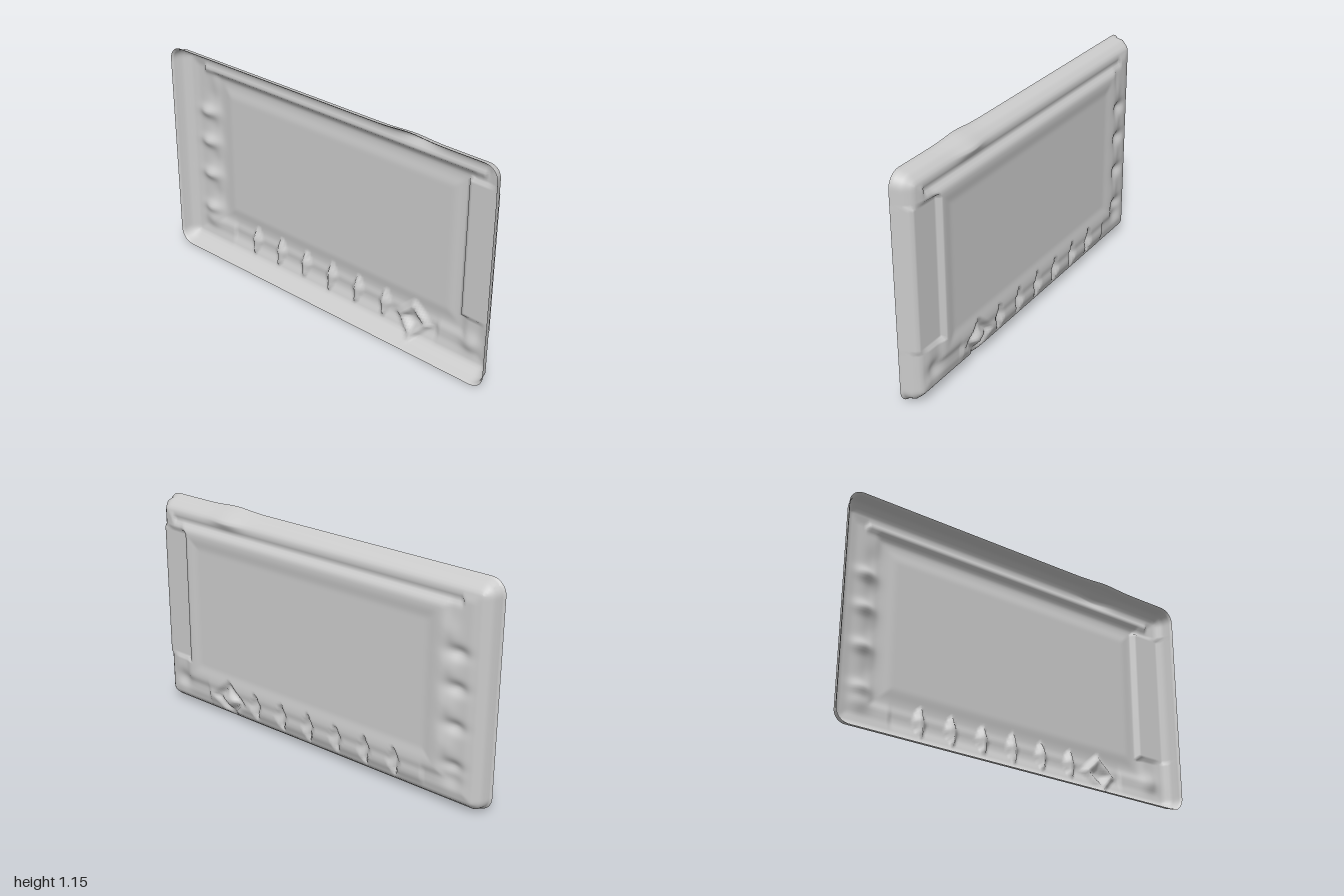
import * as THREE from 'three';

const W = 1, Y0 = 0.004, Y1 = 1.14, R = 0.075;
const smooth = THREE.MathUtils.smoothstep;
const bell = (v, c, w) => Math.max(0, 1 - Math.abs(v - c) / w);
const hump = (v, c, w) => Math.exp(-(((v - c) / w) ** 2));

// linear interpolation through profile points [distance, z]
function profile(points, d) {
  for (let i = 1; i < points.length; i++) {
    const [a, za] = points[i - 1], [b, zb] = points[i];
    if (d <= b) return za + (zb - za) * (d - a) / (b - a);
  }
  return points[points.length - 1][1];
}

// flared lip, rounded wall and shallow floor, measured inward from the rim
const WALL = [[0, 0.055], [0.011, 0.042], [0.018, 0.008], [0.05, -0.028], [0.1, -0.04], [0.2, -0.043]];
const SIDE_WALL = [[0, 0.055], [0.011, 0.04], [0.02, 0], [0.04, -0.03], [0.2, -0.033]];

// distance from a point to the rounded outline
function edgeDistance(x, y) {
  const dx = W - Math.abs(x);
  const dy = Math.min(y - Y0, Y1 - y);
  if (dx < R && dy < R) return Math.max(0, R - Math.hypot(R - dx, R - dy));
  return Math.max(0, Math.min(dx, dy));
}

function depth(x, y) {
  const d = edgeDistance(x, y);
  let z = profile(WALL, d);

  // flat side strip with a sharp step at both ends
  if (x > 0.79 && y > 0.28 && y < 0.99) return profile(SIDE_WALL, d);

  // large panel framed by a shallow groove
  const px = Math.min(x + 0.75, 0.79 - x), py = Math.min(y - 0.2, 0.985 - y);
  const inset = Math.min(px, py);
  if (inset > -0.05) {
    const k = smooth(inset, -0.05, 0.0);
    z += (-0.054 - z) * k;
    z += 0.008 * smooth(inset, 0.01, 0.08);
  }
  // long shelf fold above the panel
  if (x > -0.85 && x < 0.88) z += 0.014 * hump(y, 1.035, 0.018);

  // row of pointed ribs below the panel
  for (let i = 0; i < 6; i++) {
    const w = 0.04 * bell(y, 0.145, 0.085);
    if (w > 0) z += 0.03 * bell(x, -0.52 + i * 0.173, w) * Math.min(1, w / 0.015);
  }
  if (x > -0.68 && x < 0.66) z -= 0.01 * hump(y, 0.13, 0.045);

  // diamond boss with a sunken middle
  const q = Math.abs(x - 0.525) + Math.abs(y - 0.13);
  z += 0.025 * bell(q, 0.075, 0.04) - 0.008 * bell(q, 0, 0.04);

  // scalloped pockets along the left side
  for (const c of [0.32, 0.52, 0.71, 0.88]) {
    z += 0.022 * hump(x, -0.84, 0.05) * hump(y, c - 0.09, 0.03);
    z -= 0.01 * hump(x, -0.8, 0.04) * hump(y, c, 0.06);
  }

  // small corner bosses and the button bulge on the top wall
  z += 0.02 * hump(x, 0.86, 0.05) * hump(y, 0.15, 0.045);
  z += 0.015 * hump(x, -0.84, 0.05) * hump(y, 0.16, 0.04);
  z -= 0.02 * hump(x, 0.53, 0.09) * hump(y, 1.09, 0.025);
  return Math.max(z, -0.056);
}

// grid lines from a to b, gathered near the rim
function gridLines(a, b, n) {
  const lip = [0, 0.006, 0.011, 0.018, 0.03];
  const lines = lip.map((v) => a + v);
  for (let i = 1; i < n; i++) lines.push(a + 0.03 + (b - a - 0.06) * i / n);
  return lines.concat(lip.map((v) => b - v).reverse());
}

function makeShell() {
  const xs = gridLines(-W, W, 150), ys = gridLines(Y0, Y1, 90);
  const geo = new THREE.PlaneGeometry(1, 1, xs.length - 1, ys.length - 1);
  const pos = geo.attributes.position;
  for (let j = 0; j < ys.length; j++) {
    for (let i = 0; i < xs.length; i++) {
      let x = xs[i], y = ys[ys.length - 1 - j];
      // bend the corners round: square rings become arcs
      const cx = Math.sign(x) * (W - R), cy = y > 0.57 ? Y1 - R : Y0 + R;
      const ax = Math.abs(x) - (W - R), ay = (y - cy) * (y > 0.57 ? 1 : -1);
      if (ax > 0 && ay > 0) {
        const s = Math.max(ax, ay) / Math.hypot(ax, ay);
        x = cx + (x - cx) * s;
        y = cy + (y - cy) * s;
      }
      const z = depth(x, y);
      // slight swelling of the outline at the button
      const bulge = 0.01 * hump(x, 0.53, 0.1) * smooth(y, 1.1, Y1);
      pos.setXYZ(j * xs.length + i, x, y + bulge, z);
    }
  }
  geo.computeVertexNormals();
  return geo;
}

export function createModel() {
  const group = new THREE.Group();
  group.name = 'shallowCover';
  const material = new THREE.MeshStandardMaterial({ color: 0xcccccc, side: THREE.DoubleSide });
  const shell = new THREE.Mesh(makeShell(), material);
  shell.name = 'pressedShell';
  group.add(shell);
  return group;
}
